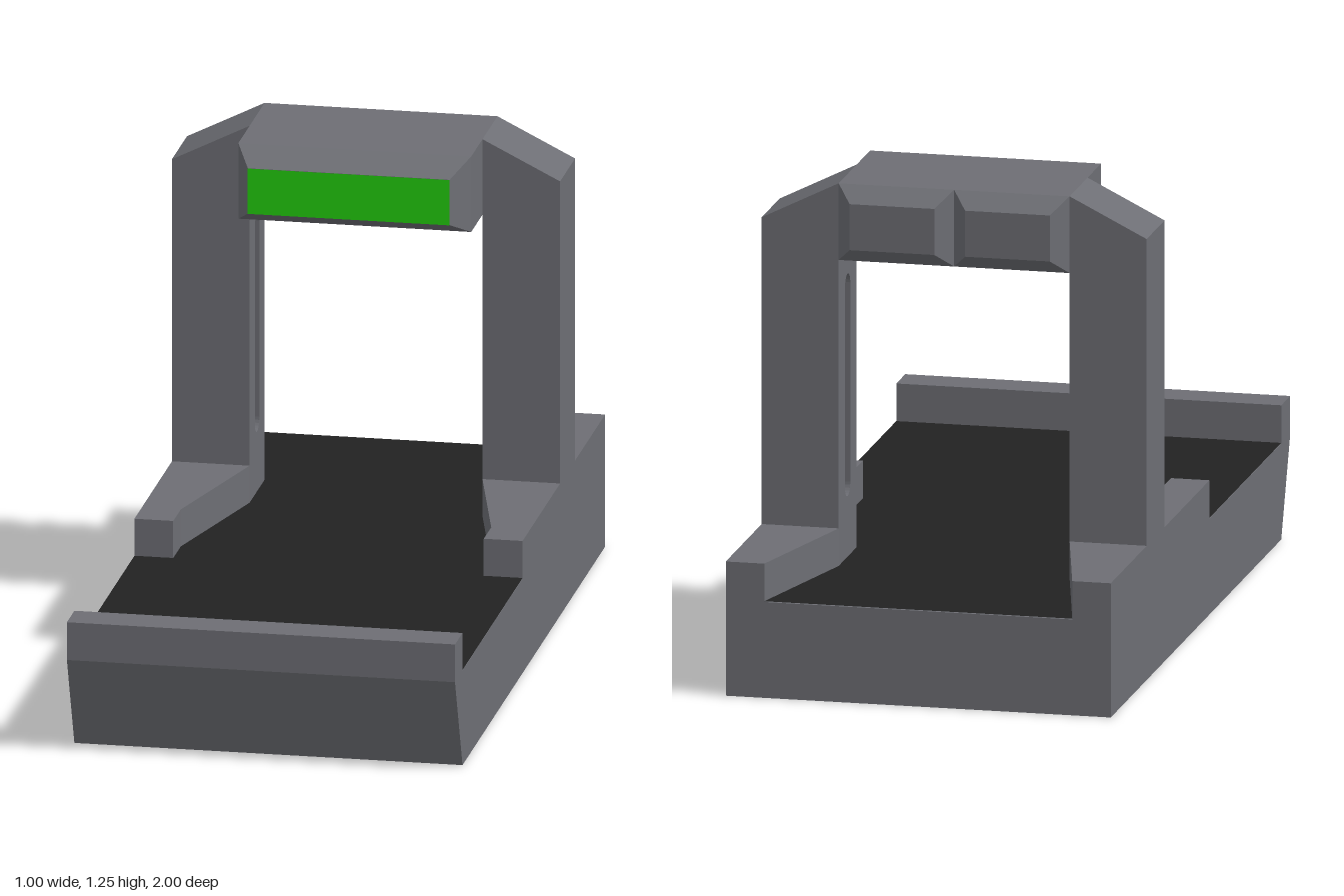
import * as THREE from 'three';

const grey = new THREE.MeshStandardMaterial({ color: 0x6d6e74 });
grey.name = 'grey metal';
const black = new THREE.MeshStandardMaterial({ color: 0x222222 });
black.name = 'black belt';
const green = new THREE.MeshStandardMaterial({ color: 0x22cc0e });
green.name = 'green screen';

const SLOT_DEPTH = 0.03;

function polygon(points) {
  return new THREE.Shape(points.map(([x, y]) => new THREE.Vector2(x, y)));
}

function extrude(shape, depth) {
  return new THREE.ExtrudeGeometry(shape, { depth, bevelEnabled: false, curveSegments: 6 });
}

// shape drawn in (z, y), extruded from x0 to x1
function alongX(shape, x0, x1) {
  return extrude(shape, x1 - x0).rotateY(-Math.PI / 2).translate(x1, 0, 0);
}

// shape drawn in (x, z), extruded from y0 to y1
function alongY(shape, y0, y1) {
  return extrude(shape, y1 - y0).rotateX(Math.PI / 2).translate(0, y1, 0);
}

// round-ended slot outline; horizontal when w > h, otherwise vertical
function slot(cx, cy, w, h) {
  const r = Math.min(w, h) / 2;
  const dx = w / 2 - r, dy = h / 2 - r;
  const path = new THREE.Path();
  const start = w > h ? -Math.PI / 2 : 0;
  path.absarc(cx + dx, cy + dy, r, start, start + Math.PI, false);
  path.absarc(cx - dx, cy - dy, r, start + Math.PI, start + 2 * Math.PI, false);
  path.closePath();
  return path;
}

function boxBetween(x0, x1, y0, y1, z0, z1) {
  return new THREE.BoxGeometry(x1 - x0, y1 - y0, z1 - z0)
    .translate((x0 + x1) / 2, (y0 + y1) / 2, (z0 + z1) / 2);
}

// box whose end on the given z side is inset all round
function chamferedBlock(w, h, d, inset, side) {
  const geo = new THREE.BoxGeometry(w, h, d);
  const p = geo.attributes.position;
  for (let i = 0; i < p.count; i++) {
    if (p.getZ(i) * side > 0) {
      p.setX(i, p.getX(i) * (1 - 2 * inset / w));
      p.setY(i, p.getY(i) * (1 - 2 * inset / h));
    }
  }
  geo.computeVertexNormals();
  return geo;
}

export function createModel() {
  const model = new THREE.Group();
  model.name = 'scannerGate';
  const add = (name, geo, mat = grey, parent = model) => {
    const mesh = new THREE.Mesh(geo, mat);
    mesh.name = name;
    parent.add(mesh);
    return mesh;
  };

  // base slab with sloped nose and front lip
  add('base', alongX(polygon([
    [-1, 0], [0.9, 0], [1, 0.25], [1, 0.35], [0.9, 0.35], [0.9, 0.25], [-1, 0.25],
  ]), -0.5, 0.5));

  // belt surface
  add('belt', new THREE.PlaneGeometry(1, 1.9).rotateX(-Math.PI / 2).translate(0, 0.252, -0.05), black);

  for (const s of [1, -1]) {
    const side = s > 0 ? 'left' : 'right';

    // guide rail that widens to carry the post
    add(side + 'Rail', alongY(polygon([
      [0.5, -1], [0.4, -1], [0.3, -0.6], [0.3, -0.4], [0.4, 0], [0.4, 0.1], [0.5, 0.1],
    ].map(([x, z]) => [s * x, z])), 0.25, 0.35));

    // post with sloped shoulder
    const inner = 0.3 + SLOT_DEPTH;
    add(side + 'Post', extrude(polygon([
      [inner, 0.35], [0.5, 0.35], [0.5, 1.15], [0.3, 1.25], [0.3, 1.05], [inner, 1.05],
    ].map(([x, y]) => [s * x, y])), 0.2).translate(0, 0, -0.6));

    // slotted inner face of the post
    const lining = polygon([[-0.6, 0.35], [-0.4, 0.35], [-0.4, 1.05], [-0.6, 1.05]]);
    lining.holes.push(slot(-0.5, 0.7, 0.06, 0.58));
    add(side + 'PostLining', alongX(lining, s > 0 ? 0.3 : -inner, s > 0 ? inner : -0.3));

    // chamfered block on the back of the head
    add(side + 'RearBlock', chamferedBlock(0.3, 0.2, 0.05, 0.04, -1).translate(s * 0.15, 1.15, -0.625));
  }

  // overhead bridge
  const head = new THREE.Group();
  head.name = 'head';
  model.add(head);
  add('bridge', boxBetween(-0.3, 0.3, 1.05 + SLOT_DEPTH, 1.25, -0.6, -0.4), grey, head);
  add('headBody', boxBetween(-0.3, 0.3, 1.05, 1.25, -0.4, -0.25), grey, head);
  add('headFront', chamferedBlock(0.6, 0.2, 0.08, 0.04, 1).translate(0, 1.15, -0.21), grey, head);

  // slotted underside of the bridge
  const underside = polygon([[-0.3, -0.6], [0.3, -0.6], [0.3, -0.4], [-0.3, -0.4]]);
  for (const s of [1, -1]) underside.holes.push(slot(s * 0.15, -0.5, 0.17, 0.05));
  add('bridgeUnderside', alongY(underside, 1.05, 1.05 + SLOT_DEPTH), grey, head);

  // screen on the front of the head
  add('screen', new THREE.PlaneGeometry(0.52, 0.12).translate(0, 1.15, -0.168), green, head);

  return model;
}
